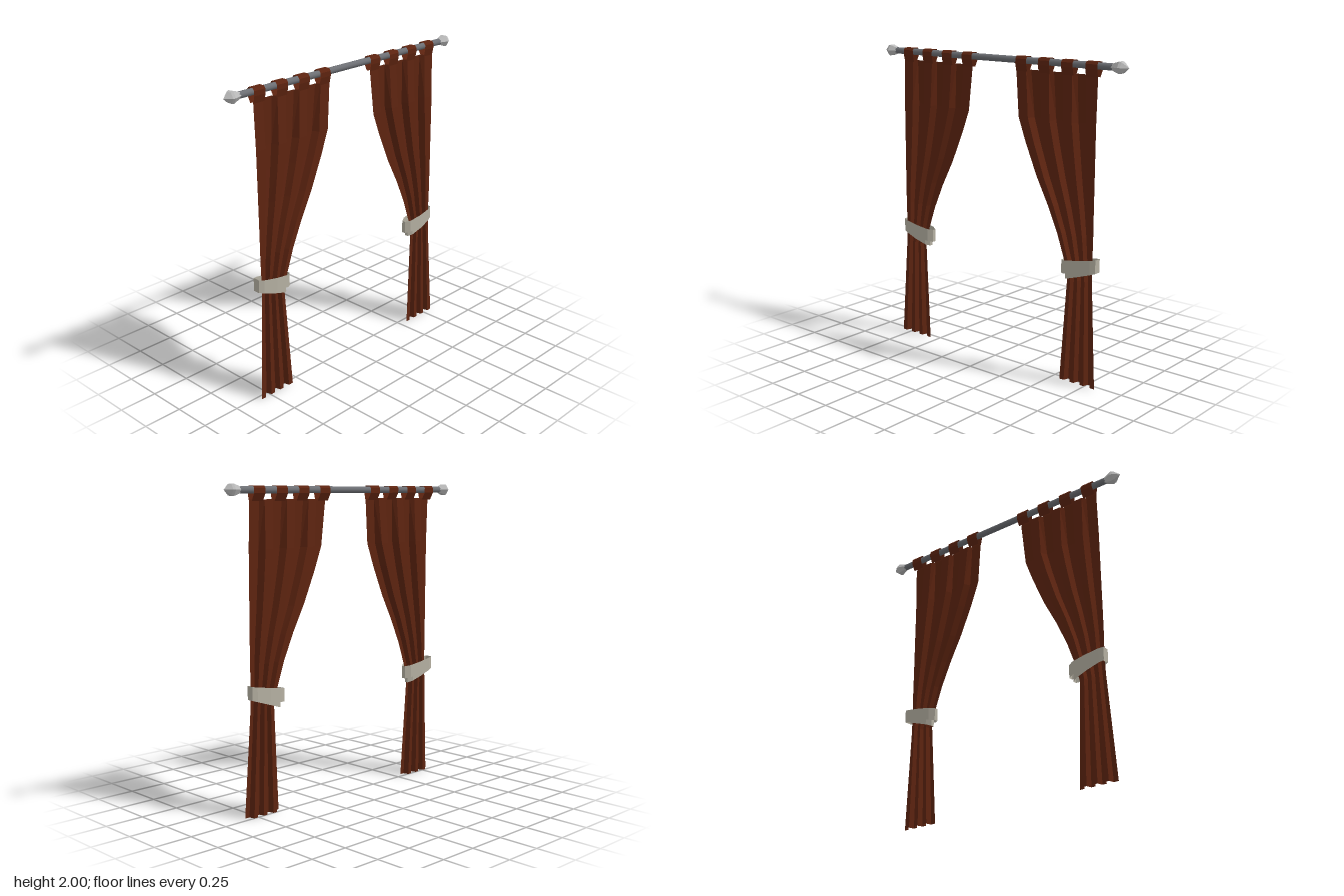
import * as THREE from 'three';

const fabric = new THREE.MeshStandardMaterial({ color: 0x5e2410, side: THREE.DoubleSide });
fabric.name = 'brown fabric';
const ribbon = new THREE.MeshStandardMaterial({ color: 0xb5b0a2, side: THREE.DoubleSide });
ribbon.name = 'cream ribbon';
const steel = new THREE.MeshStandardMaterial({ color: 0x6e7075 });
steel.name = 'dark steel';
const silver = new THREE.MeshStandardMaterial({ color: 0xbcbcbc });
silver.name = 'silver';

const ROD_X = -0.01, ROD_Y = 1.965;

function add(parent, name, geometry, material) {
  const mesh = new THREE.Mesh(geometry, material);
  mesh.name = name;
  parent.add(mesh);
  return mesh;
}

// Flat-faceted surface through equal rows of [x, y, z] points
function loft(rows) {
  const n = rows[0].length, index = [];
  for (let i = 0; i < rows.length - 1; i++) {
    for (let j = 0; j < n - 1; j++) {
      const a = i * n + j, b = a + 1, c = a + n, d = c + 1;
      index.push(a, c, b, b, c, d);
    }
  }
  const g = new THREE.BufferGeometry();
  g.setAttribute('position', new THREE.Float32BufferAttribute(rows.flat(2), 3));
  g.setIndex(index);
  const flat = g.toNonIndexed();
  flat.computeVertexNormals();
  return flat;
}

// Height, outer z, inner z, middle x, pleat depth
const drape = [
  [1.91, 0.783, 0.178, -0.003, 0.012],
  [1.62, 0.783, 0.205, -0.003, 0.021],
  [1.47, 0.783, 0.262, -0.002, 0.021],
  [1.27, 0.783, 0.35, 0, 0.02],
  [1.1, 0.783, 0.44, 0.003, 0.018],
  [0.935, 0.783, 0.515, 0.005, 0.016],
  [0.78, 0.78, 0.57, 0.006, 0.015],
  [0.66, 0.783, 0.598, 0.008, 0.015],
  [0, 0.825, 0.56, 0.018, 0.018],
];

// Four raised folds with three recessed folds between them
function pleatedSheet(side) {
  const folds = 7, slope = 0.018;
  return loft(drape.map(([y, outer, inner, x, depth]) => {
    const row = [];
    for (let k = 0; k < folds; k++) {
      const px = x + (k % 2 ? -depth : depth);
      for (const end of [0, 1]) {
        let u = (k + end) / folds;
        if (k + end > 0 && k + end < folds) u += end ? -slope : slope;
        row.push([px, y, side * THREE.MathUtils.lerp(outer, inner, u)]);
      }
    }
    return row;
  }));
}

// Fabric loop that passes over the rod
function tab(z, side) {
  const loop = [[0.01, 1.9], [0.02, 1.945], [0.02, 1.975], [0.008, 1.99],
    [-0.028, 1.99], [-0.039, 1.975], [-0.039, 1.945], [-0.015, 1.9]];
  return loft(loop.map(([x, y]) => [[x, y, side * (z - 0.042)], [x, y, side * (z + 0.042)]]));
}

// Sloping closed band around the gathered cloth
function band(side, zOuter, zInner, yOuter, yInner, grow) {
  const ring = [[0, 0.022], [0.12, 0.036], [0.5, 0.044], [0.88, 0.036], [1, 0.014],
    [1, -0.012], [0.85, -0.032], [0.5, -0.038], [0.12, -0.034], [0, -0.024], [0, 0.022]];
  return loft([0.042, -0.042].map((h) => ring.map(([u, x]) => [
    x * grow,
    THREE.MathUtils.lerp(yOuter, yInner, u) + h,
    side * THREE.MathUtils.lerp(zOuter, zInner, u),
  ])));
}

function curtain(side) {
  const g = new THREE.Group();
  g.name = side > 0 ? 'frontCurtain' : 'backCurtain';
  add(g, 'pleatedPanel', pleatedSheet(side), fabric);
  for (let i = 0; i < 4; i++) add(g, 'hangingTab', tab(0.741 - i * 0.1737, side), fabric);
  add(g, 'upperTieBand', band(side, 0.803, 0.545, 0.772, 0.73, 1), ribbon);
  add(g, 'lowerTieBand', band(side, 0.797, 0.575, 0.77, 0.698, 0.92), ribbon);
  return g;
}

export function createModel() {
  const model = new THREE.Group();
  model.name = 'curtains';

  // Rod along z
  const rod = add(model, 'rod', new THREE.CylinderGeometry(0.021, 0.021, 1.76, 12).rotateX(Math.PI / 2), steel);
  rod.position.set(ROD_X, ROD_Y, 0);

  // Six-sided pointed finials
  const profile = [[0, 0], [0.021, 0], [0.041, 0.055], [0.036, 0.07], [0, 0.112]]
    .map(([r, h]) => new THREE.Vector2(r, h));
  for (const side of [1, -1]) {
    const shape = new THREE.LatheGeometry(profile, 6).rotateY(Math.PI / 2).toNonIndexed();
    shape.computeVertexNormals();
    shape.rotateX(side * Math.PI / 2);
    const finial = add(model, 'finial', shape, silver);
    finial.position.set(ROD_X, ROD_Y, side * 0.868);
    model.add(curtain(side));
  }
  return model;
}
